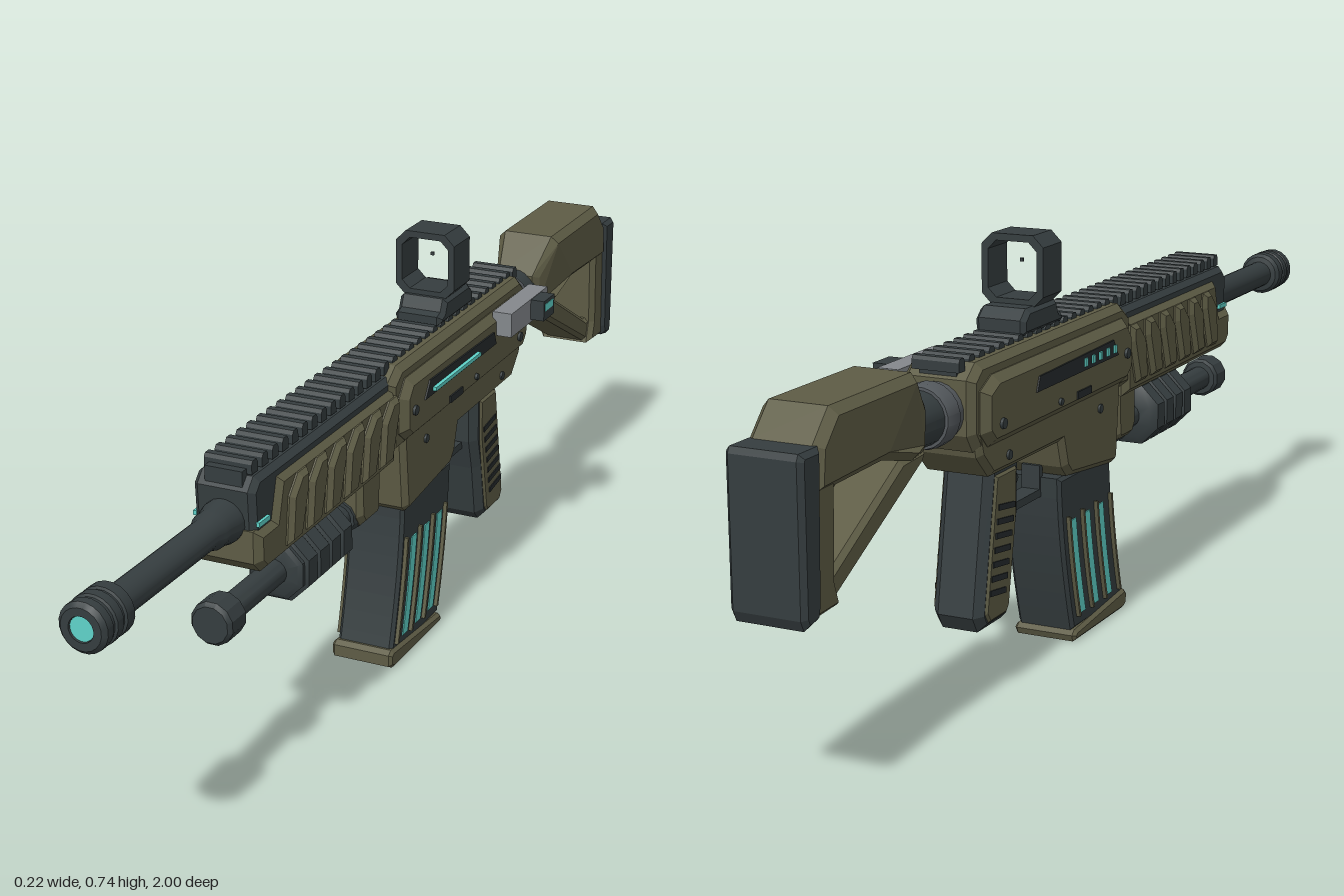
import * as THREE from 'three';
import { toCreasedNormals } from 'three/addons/utils/BufferGeometryUtils.js';

const mat = (name, color) => Object.assign(new THREE.MeshStandardMaterial({ color }), { name });

export function createModel() {
  const olive = mat('olive', 0x5e5c45), dark = mat('dark gunmetal', 0x353d3f), black = mat('near black', 0x262b2d);
  const grey = mat('light grey', 0x84888c), steel = mat('steel', 0x53585c), cyan = mat('cyan glow', 0x5fd3c9);
  const model = new THREE.Group();
  model.name = 'sciFiBlaster';
  model.position.x = -0.027;

  const add = (name, geo, material) => {
    const m = new THREE.Mesh(geo, material);
    m.name = name;
    model.add(m);
  };
  // box from its limits
  const box = (name, material, x0, x1, y0, y1, z0, z1) =>
    add(name, new THREE.BoxGeometry(x1 - x0, y1 - y0, z1 - z0)
      .translate((x0 + x1) / 2, (y0 + y1) / 2, (z0 + z1) / 2), material);
  const shapeOf = (pts) => new THREE.Shape(pts.map(([a, b]) => new THREE.Vector2(a, b)));
  // side profile in (z, y), extruded across x from -h to h with chamfered edges
  const profile = (pts, h, bevel = 0.01) => {
    const geo = new THREE.ExtrudeGeometry(shapeOf(pts), {
      depth: 2 * (h - bevel), bevelEnabled: bevel > 0, bevelSize: bevel,
      bevelThickness: bevel, bevelOffset: -bevel, bevelSegments: 1,
    });
    return geo.translate(0, 0, -(h - bevel)).rotateY(-Math.PI / 2);
  };
  const side = (name, material, pts, h, bevel) => add(name, profile(pts, h, bevel), material);
  // the same plate on one side only
  const plate = (name, material, pts, x0, x1) =>
    add(name, profile(pts, Math.abs(x1 - x0) / 2, 0).translate((x0 + x1) / 2, 0, 0), material);
  // turned part along z; points are [z, r] from back to front
  const turned = (name, material, pts, y, segs = 20) => {
    const geo = new THREE.LatheGeometry(pts.map(([z, r]) => new THREE.Vector2(r, z)), segs, Math.PI / segs);
    add(name, toCreasedNormals(geo.rotateX(Math.PI / 2), 0.5).translate(0, y, 0), material);
  };

  // Barrel and muzzle
  turned('barrel', dark, [[0.5, 0], [0.5, 0.037], [0.6, 0.037], [0.62, 0.032], [0.635, 0.032], [0.65, 0.026],
    [0.93, 0.026]], 0.485);
  turned('muzzle', dark, [[0.913, 0.026], [0.915, 0.036], [0.922, 0.042], [0.942, 0.042], [0.944, 0.038], [0.95, 0.038],
    [0.952, 0.042], [0.968, 0.042], [0.97, 0.038], [0.976, 0.038], [0.978, 0.041], [0.993, 0.041], [1, 0.034],
    [1, 0.021], [0.992, 0.02], [0.992, 0]], 0.485);
  turned('muzzleGlow', cyan, [[0.99, 0.02], [0.997, 0.02], [0.997, 0]], 0.485);

  // Handguard with slanted ribs
  side('handguardCore', dark, [[0.585, 0.44], [0.56, 0.405], [0.09, 0.405], [0.09, 0.56], [0.57, 0.56], [0.59, 0.54]], 0.054);
  side('handguardShell', olive, [[0.59, 0.42], [0.57, 0.4], [0.09, 0.4], [0.09, 0.542], [0.515, 0.542],
    [0.535, 0.475], [0.59, 0.475]], 0.064, 0.012);
  for (let i = 0; i < 6; i++) {
    const z = 0.505 - i * 0.068;
    side('handguardRib', olive, [[z, 0.42], [z - 0.043, 0.42], [z - 0.07, 0.5], [z - 0.07, 0.53], [z - 0.04, 0.53],
      [z - 0.01, 0.5]], 0.075, 0.008);
  }
  for (const s of [-1, 1]) box('handguardGlow', cyan, s * 0.056 - 0.003, s * 0.056 + 0.003, 0.48, 0.488, 0.545, 0.58);

  // Receiver: narrow top, wide middle, lower housing with magazine well
  side('receiverTop', olive, [[0.105, 0.42], [0.105, 0.55], [0.07, 0.574], [-0.47, 0.574], [-0.5, 0.55], [-0.5, 0.46],
    [-0.48, 0.43]], 0.064, 0.012);
  side('receiverBody', olive, [[0.085, 0.455], [0.085, 0.52], [0.06, 0.55], [-0.44, 0.55], [-0.48, 0.53], [-0.48, 0.46],
    [-0.455, 0.435], [0.06, 0.435]], 0.08, 0.014);
  side('receiverLower', olive, [[0.065, 0.46], [0.05, 0.3], [0.04, 0.29], [-0.145, 0.31], [-0.165, 0.33], [-0.18, 0.378],
    [-0.435, 0.38], [-0.475, 0.42], [-0.485, 0.46]], 0.065);
  for (const s of [-1, 1]) {
    const x = s * 0.081;
    plate('sidePanel', black, [[0.01, 0.495], [-0.01, 0.525], [-0.3, 0.52], [-0.31, 0.495]], x - 0.002, x + 0.002);
    plate('lowerVent', black, [[-0.1, 0.45], [-0.1, 0.463], [-0.155, 0.463], [-0.155, 0.45]], x - 0.002, x + 0.002);
    for (const [z, y, r] of [[0.05, 0.49, 0.009], [-0.43, 0.47, 0.009], [-0.22, 0.46, 0.006]])
      add('receiverPin', new THREE.CylinderGeometry(r, r, 0.008, 10).rotateZ(Math.PI / 2).translate(x, y, z), dark);
    for (const z of [-0.03, -0.38])
      add('lowerPin', new THREE.CylinderGeometry(0.008, 0.008, 0.008, 10).rotateZ(Math.PI / 2)
        .translate(s * 0.065, 0.405, z), dark);
  }
  box('statusStrip', cyan, 0.082, 0.09, 0.502, 0.509, -0.22, -0.02);
  for (let i = 0; i < 5; i++)
    box('statusTick', cyan, -0.086, -0.08, 0.502, 0.516, -0.012 - i * 0.03, -0.002 - i * 0.03);

  // Toothed top rail
  box('railBase', dark, -0.033, 0.033, 0.545, 0.571, -0.495, 0.585);
  for (let i = 0; i < 32; i++) {
    const z = 0.57 - i * 0.034;
    side('railTooth', dark, [[z, 0.562], [z, 0.578], [z - 0.004, 0.584], [z - 0.016, 0.584], [z - 0.02, 0.578],
      [z - 0.02, 0.562]], 0.042, 0);
  }

  // Reflex sight
  side('sightBase', dark, [[-0.135, 0.578], [-0.135, 0.595], [-0.15, 0.6], [-0.16, 0.622], [-0.265, 0.622],
    [-0.285, 0.605], [-0.285, 0.578]], 0.046, 0.008);
  const octagon = (w, y0, y1, c) => [[-w + c, y0], [w - c, y0], [w, y0 + c], [w, y1 - c], [w - c, y1], [-w + c, y1],
    [-w, y1 - c], [-w, y0 + c]];
  const frame = shapeOf(octagon(0.057, 0.618, 0.739, 0.019));
  frame.holes.push(shapeOf(octagon(0.045, 0.631, 0.727, 0.015)));
  add('sightFrame', new THREE.ExtrudeGeometry(frame, { depth: 0.07, bevelEnabled: false }).translate(0, 0, -0.237), dark);
  box('sightDot', dark, -0.003, 0.003, 0.688, 0.694, -0.203, -0.199);

  // Charging handle
  box('chargingSlide', grey, 0.072, 0.11, 0.509, 0.555, -0.495, -0.315);
  box('chargingKnob', dark, 0.109, 0.137, 0.515, 0.554, -0.463, -0.41);
  box('knobGlow', cyan, 0.133, 0.138, 0.533, 0.547, -0.455, -0.416);

  // Magazine, curved forward towards its base
  const front = (y) => 0.04 + 0.055 * Math.pow((0.31 - y) / 0.29, 1.6);
  const curved = (a, b, y0, y1) => {
    const ys = Array.from({ length: 9 }, (_, i) => y0 + (y1 - y0) * i / 8);
    return [...ys.map((y) => [front(y) + b, y]), ...ys.reverse().map((y) => [front(y) + a, y])];
  };
  side('magazine', dark, curved(-0.208, 0, 0.02, 0.309), 0.054, 0.006);
  side('magazineBase', olive, [[0.105, 0.008], [0.105, 0.03], [0.095, 0.037], [-0.11, 0.02], [-0.12, 0.012], [-0.115, 0],
    [0.09, 0]], 0.06, 0.006);
  for (const s of [-1, 1]) {
    for (const o of [-0.041, -0.097, -0.153])
      plate('magazineGlow', cyan, curved(o - 0.021, o, 0.045, 0.225), s * 0.05, s * 0.056);
    for (const o of [-0.01, -0.07, -0.126, -0.182])
      plate('magazineRib', olive, curved(o - 0.006, o, 0.042, 0.235), s * 0.052, s * 0.061);
  }

  // Trigger, guard and pistol grip
  box('triggerGuard', dark, -0.017, 0.017, 0.274, 0.288, -0.315, -0.17);
  box('guardPost', dark, -0.017, 0.017, 0.274, 0.33, -0.172, -0.16);
  side('trigger', dark, [[-0.25, 0.39], [-0.28, 0.39], [-0.273, 0.345], [-0.245, 0.316], [-0.237, 0.325], [-0.256, 0.35]],
    0.01, 0);
  side('grip', dark, [[-0.3, 0.39], [-0.302, 0.29], [-0.318, 0.23], [-0.335, 0.13], [-0.35, 0.113], [-0.432, 0.113],
    [-0.448, 0.14], [-0.405, 0.39]], 0.046, 0.014);
  side('gripPanel', olive, [[-0.32, 0.37], [-0.322, 0.29], [-0.35, 0.14], [-0.36, 0.128], [-0.42, 0.128],
    [-0.432, 0.145], [-0.393, 0.37]], 0.05, 0.004);
  for (let i = 0; i < 7; i++) {
    const y = 0.165 + i * 0.023, z = -0.395 + i * 0.0055;
    for (const s of [-1, 1])
      plate('gripSlot', black, [[z + 0.03, y], [z + 0.03, y + 0.01], [z - 0.026, y + 0.018], [z - 0.026, y + 0.008]],
        s * 0.046, s * 0.052);
  }

  // Under-barrel tube with ribbed drum
  turned('underTube', dark, [[0.12, 0], [0.12, 0.023], [0.59, 0.023]], 0.327, 16);
  turned('underTubeTip', dark, [[0.585, 0.023], [0.586, 0.033], [0.592, 0.038], [0.635, 0.038], [0.642, 0.032],
    [0.642, 0]], 0.327, 12);
  const drum = [[0.238, 0.023], [0.242, 0.045]];
  for (let i = 0; i < 4; i++) {
    const z = 0.25 + i * 0.043;
    drum.push([z, 0.06], [z + 0.032, 0.06], [z + 0.034, 0.053], [z + 0.041, 0.053]);
  }
  drum.push([0.425, 0.045], [0.428, 0.023]);
  turned('underDrum', dark, drum, 0.327, 8);
  side('underMount', olive, [[0.185, 0.41], [0.185, 0.33], [0.17, 0.31], [0.115, 0.31], [0.105, 0.32], [0.1, 0.41]], 0.041);
  turned('underTubeCap', dark, [[0.105, 0], [0.105, 0.034], [0.16, 0.034], [0.19, 0.03], [0.19, 0.02]], 0.327, 12);

  // Rear tube and shoulder stock
  turned('stockTube', dark, [[-0.67, 0], [-0.67, 0.04], [-0.555, 0.045], [-0.49, 0.045]], 0.497);
  turned('stockRing', steel, [[-0.555, 0.04], [-0.555, 0.05], [-0.545, 0.053], [-0.52, 0.053], [-0.515, 0.048],
    [-0.5, 0.048]], 0.497);
  // the nose of the stock narrows towards the tube
  const upper = profile([[-0.608, 0.46], [-0.603, 0.532], [-0.667, 0.598], [-0.903, 0.598], [-0.948, 0.55],
    [-0.955, 0.478], [-0.758, 0.484], [-0.672, 0.462]], 0.063, 0.014);
  const p = upper.attributes.position;
  for (let i = 0; i < p.count; i++) if (p.getZ(i) > -0.64) p.setX(i, p.getX(i) * 0.72);
  upper.computeVertexNormals();
  add('stockUpper', upper, olive);
  side('stockStrut', olive, [[-0.615, 0.468], [-0.625, 0.447], [-0.895, 0.304], [-0.955, 0.298], [-0.955, 0.36],
    [-0.895, 0.352], [-0.69, 0.466]], 0.046, 0.008);
  side('stockPost', olive, [[-0.897, 0.5], [-0.903, 0.345], [-0.89, 0.302], [-0.962, 0.298], [-0.955, 0.5]], 0.058, 0.01);
  side('buttPlate', dark, [[-0.945, 0.55], [-0.995, 0.55], [-1, 0.54], [-1, 0.31], [-0.992, 0.293], [-0.958, 0.3],
    [-0.952, 0.32]], 0.064, 0.008);

  return model;
}
